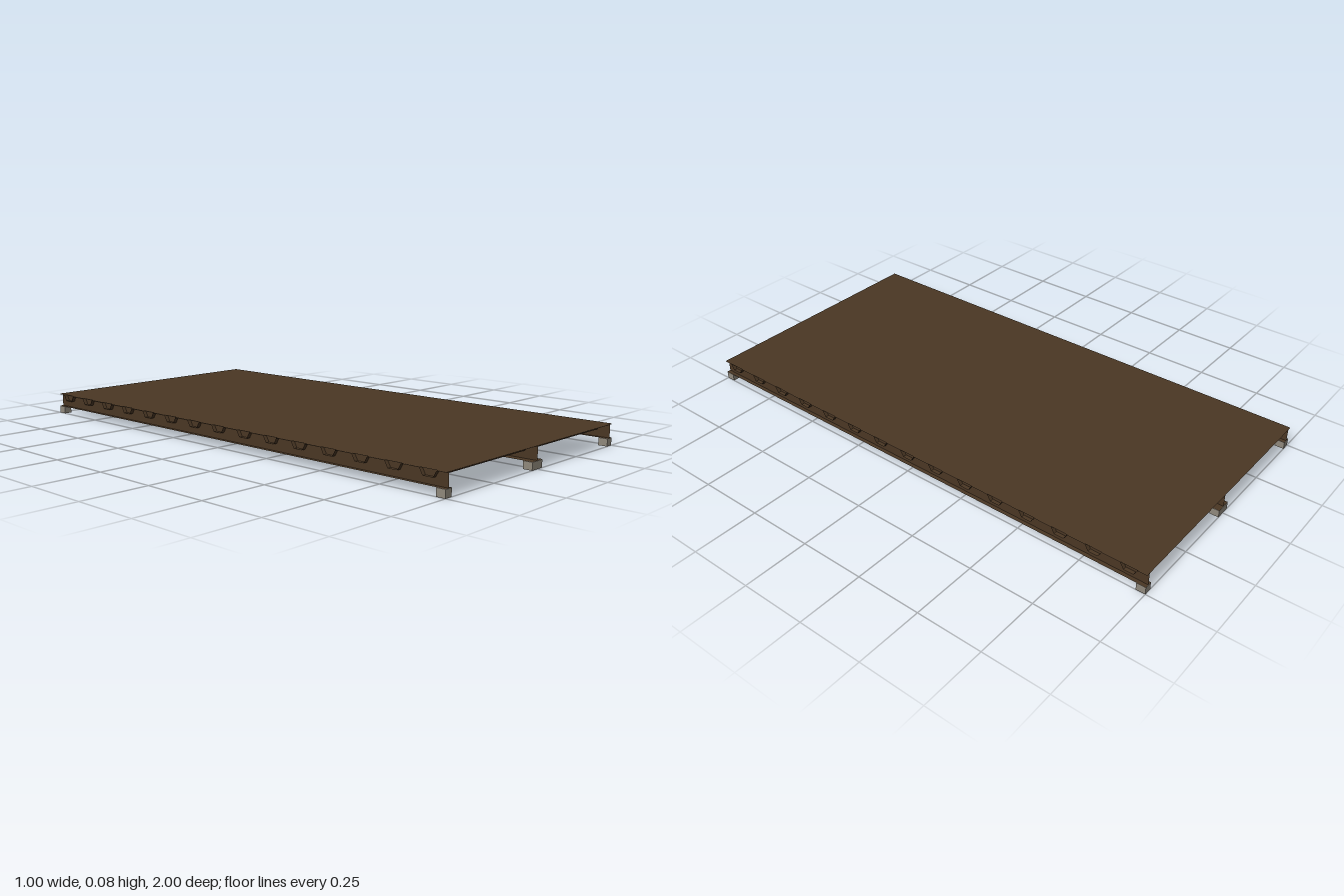
import * as THREE from 'three';

const WIDTH = 1, LENGTH = 2, TOP = 0.08, RIB_BASE = 0.055, BEAM_BASE = 0.028;
const RIBS = 15;

// Ribbed sheet: trapezoid waves running across the width
function ribbedSheet() {
  const pitch = LENGTH / RIBS;
  const high = TOP - 0.002;
  const profile = [[0, high]];
  for (let i = 0; i < RIBS; i++) {
    const z = i * pitch;
    profile.push([z + pitch * 0.26, high], [z + pitch * 0.36, RIB_BASE],
      [z + pitch * 0.64, RIB_BASE], [z + pitch * 0.74, high]);
  }
  profile.push([LENGTH, high]);
  const geometry = new THREE.PlaneGeometry(WIDTH, LENGTH, 1, profile.length - 1);
  geometry.rotateX(-Math.PI / 2);
  const pos = geometry.attributes.position;
  for (let i = 0; i < pos.count; i++) {
    const [z, y] = profile[Math.floor(i / 2)];
    pos.setY(i, y);
    pos.setZ(i, z - LENGTH / 2);
  }
  const flat = geometry.toNonIndexed();
  flat.computeVertexNormals();
  return flat;
}

export function createModel() {
  const model = new THREE.Group();
  model.name = 'floorPlatform';

  const brown = new THREE.MeshStandardMaterial({ color: 0x4a3724, side: THREE.DoubleSide });
  brown.name = 'brown steel';
  const grey = new THREE.MeshStandardMaterial({ color: 0x8f887c });
  grey.name = 'grey feet';

  const add = (name, geometry, material, parent = model) => {
    const mesh = new THREE.Mesh(geometry, material);
    mesh.name = name;
    parent.add(mesh);
    return mesh;
  };

  // Deck plate and the ribbed sheet under it
  add('deck', new THREE.PlaneGeometry(WIDTH, LENGTH).rotateX(-Math.PI / 2), brown).position.y = TOP;
  add('ribbedSheet', ribbedSheet(), brown);

  // Three thin-walled beams along the length, with a foot at each end
  const beams = [['left', 0.485, 0.03], ['middle', 0, 0.06], ['right', -0.485, 0.03]];
  for (const [side, x, width] of beams) {
    const beam = new THREE.Group();
    beam.name = side + 'Beam';
    beam.position.x = x;
    model.add(beam);

    const web = add('web', new THREE.PlaneGeometry(LENGTH, TOP - BEAM_BASE).rotateY(Math.PI / 2), brown, beam);
    web.position.y = (TOP + BEAM_BASE) / 2;
    const flange = add('bottomFlange', new THREE.PlaneGeometry(width, LENGTH).rotateX(-Math.PI / 2), brown, beam);
    flange.position.y = BEAM_BASE + 0.001;

    for (const end of [-1, 1]) {
      const foot = add(end > 0 ? 'frontFoot' : 'backFoot',
        new THREE.BoxGeometry(width, BEAM_BASE, 0.035), grey, beam);
      foot.position.set(0, BEAM_BASE / 2, end * (LENGTH / 2 - 0.0175));
    }
  }
  return model;
}
